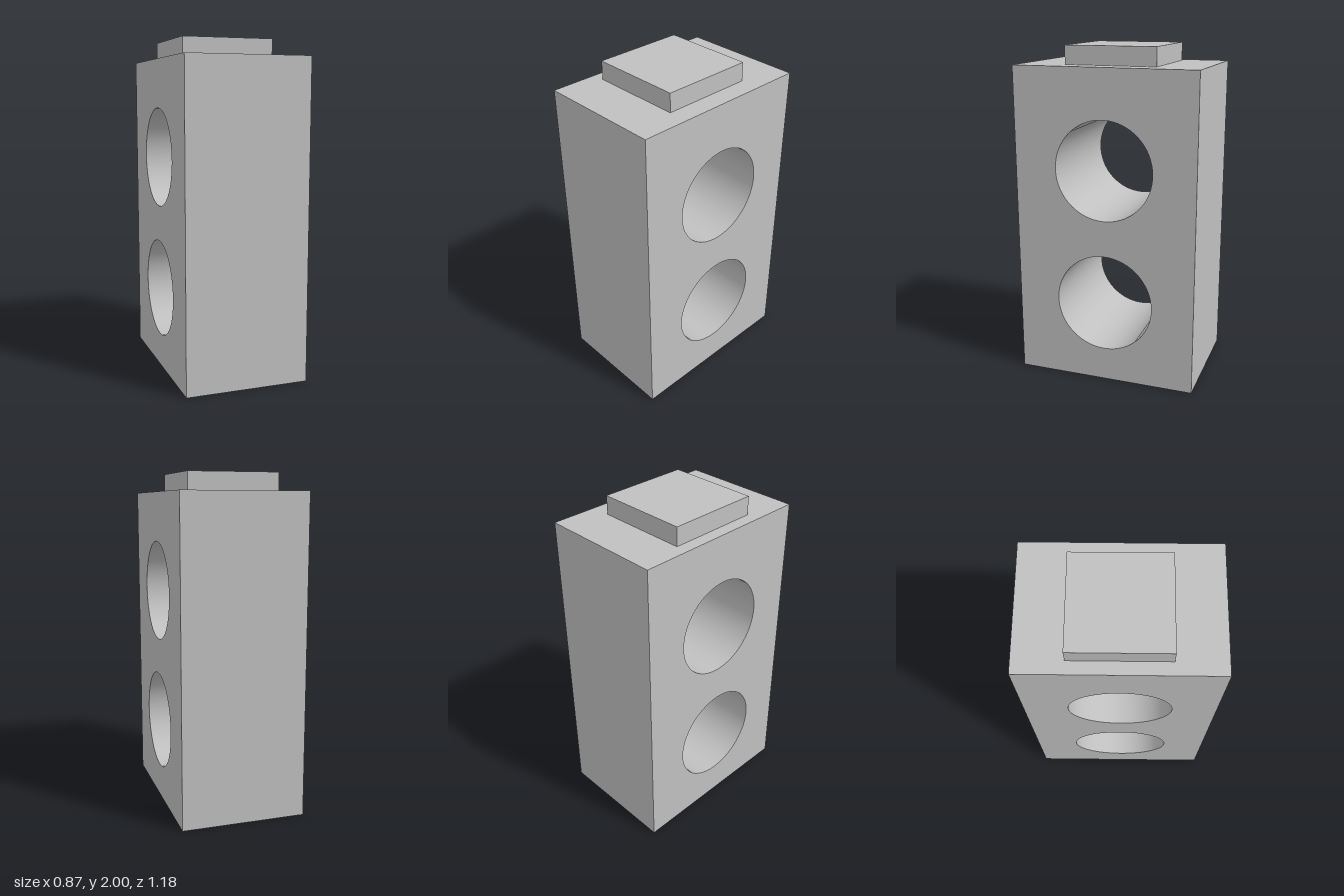
import * as THREE from 'three';
import { toCreasedNormals } from 'three/addons/utils/BufferGeometryUtils.js';

const WIDTH = 0.74, HEIGHT = 1.89, DEPTH = 1.097;
const HOLE_RADIUS = 0.295, HOLE_HEIGHTS = [0.498, 1.305];

export function createModel() {
  const model = new THREE.Group();
  model.name = 'piercedBlock';
  const grey = new THREE.MeshStandardMaterial({ color: 0xc0c0c0 });
  grey.name = 'light grey';

  // Block: side profile with two round holes, extruded across the width
  const side = new THREE.Shape();
  side.moveTo(-DEPTH / 2, 0);
  side.lineTo(DEPTH / 2, 0);
  side.lineTo(DEPTH / 2, HEIGHT);
  side.lineTo(-DEPTH / 2, HEIGHT);
  side.closePath();
  for (const y of HOLE_HEIGHTS) {
    side.holes.push(new THREE.Path().absarc(0, y, HOLE_RADIUS, 0, Math.PI * 2, true));
  }
  const blockGeometry = new THREE.ExtrudeGeometry(side, {
    depth: WIDTH, bevelEnabled: false, curveSegments: 48,
  });
  blockGeometry.translate(0, 0, -WIDTH / 2).rotateY(-Math.PI / 2);
  const block = new THREE.Mesh(toCreasedNormals(blockGeometry, 0.5), grey);
  block.name = 'block';
  model.add(block);

  // Square raised pad, set slightly off centre on the top
  const pad = new THREE.Mesh(new THREE.BoxGeometry(0.548, 2 - HEIGHT, 0.548), grey);
  pad.name = 'topPad';
  pad.position.set(-0.022, (2 + HEIGHT) / 2, -0.002);
  model.add(pad);

  // The whole piece stands slightly turned
  model.rotation.y = THREE.MathUtils.degToRad(7);
  return model;
}
